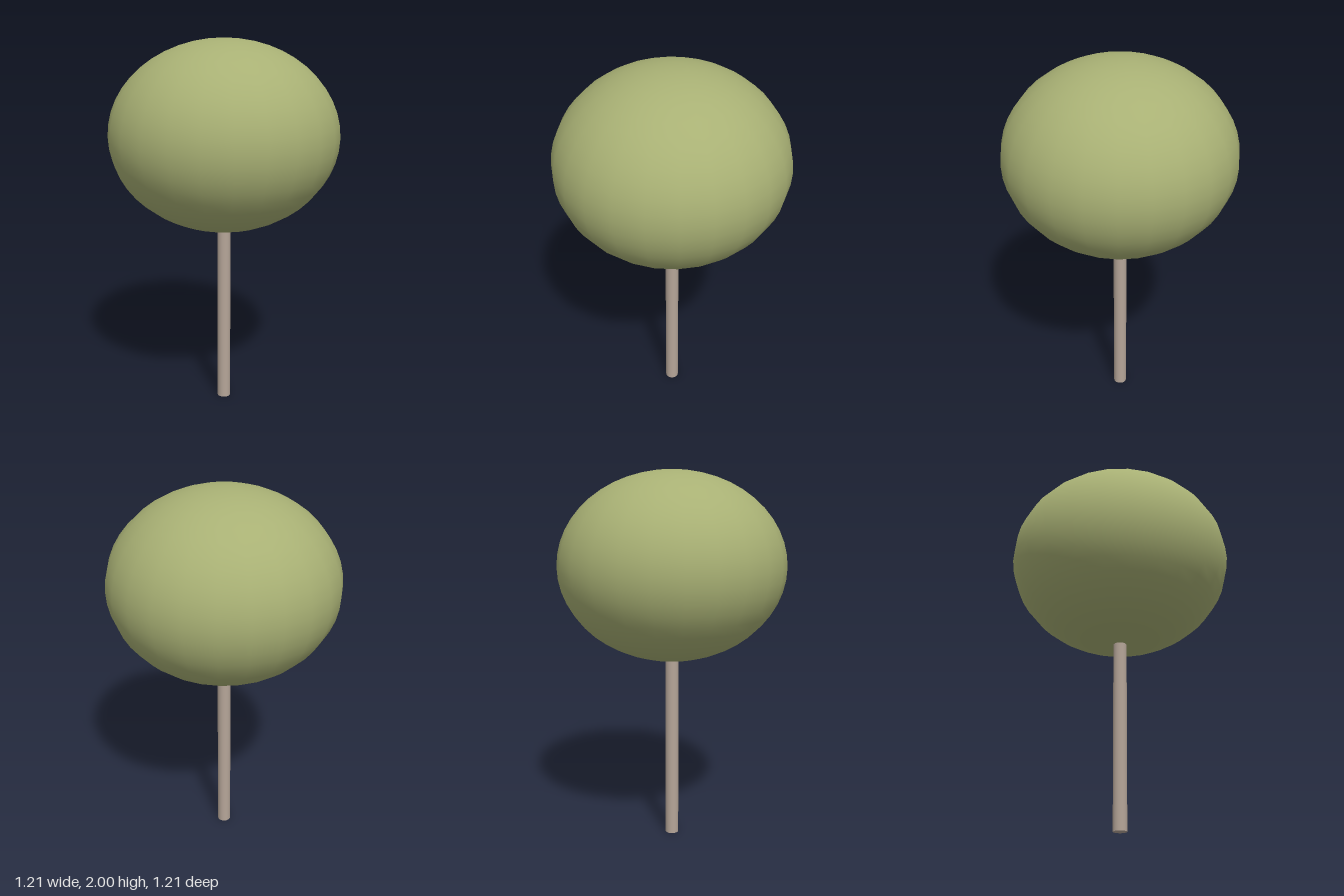
import * as THREE from 'three';

export function createModel() {
  const tree = new THREE.Group();
  tree.name = 'tree';

  // Slender round trunk, running just into the crown
  const trunkHeight = 1.02;
  const trunk = new THREE.Mesh(
    new THREE.CylinderGeometry(0.036, 0.036, trunkHeight, 24),
    new THREE.MeshStandardMaterial({ color: 0xb5a598 })
  );
  trunk.name = 'trunk';
  trunk.position.y = trunkHeight / 2;

  // Smooth, slightly flattened crown
  const crown = new THREE.Mesh(
    new THREE.SphereGeometry(1, 24, 24).scale(0.605, 0.5, 0.605),
    new THREE.MeshStandardMaterial({ color: 0xa8b074 })
  );
  crown.name = 'crown';
  crown.position.y = 1.5;

  tree.add(trunk, crown);
  return tree;
}
